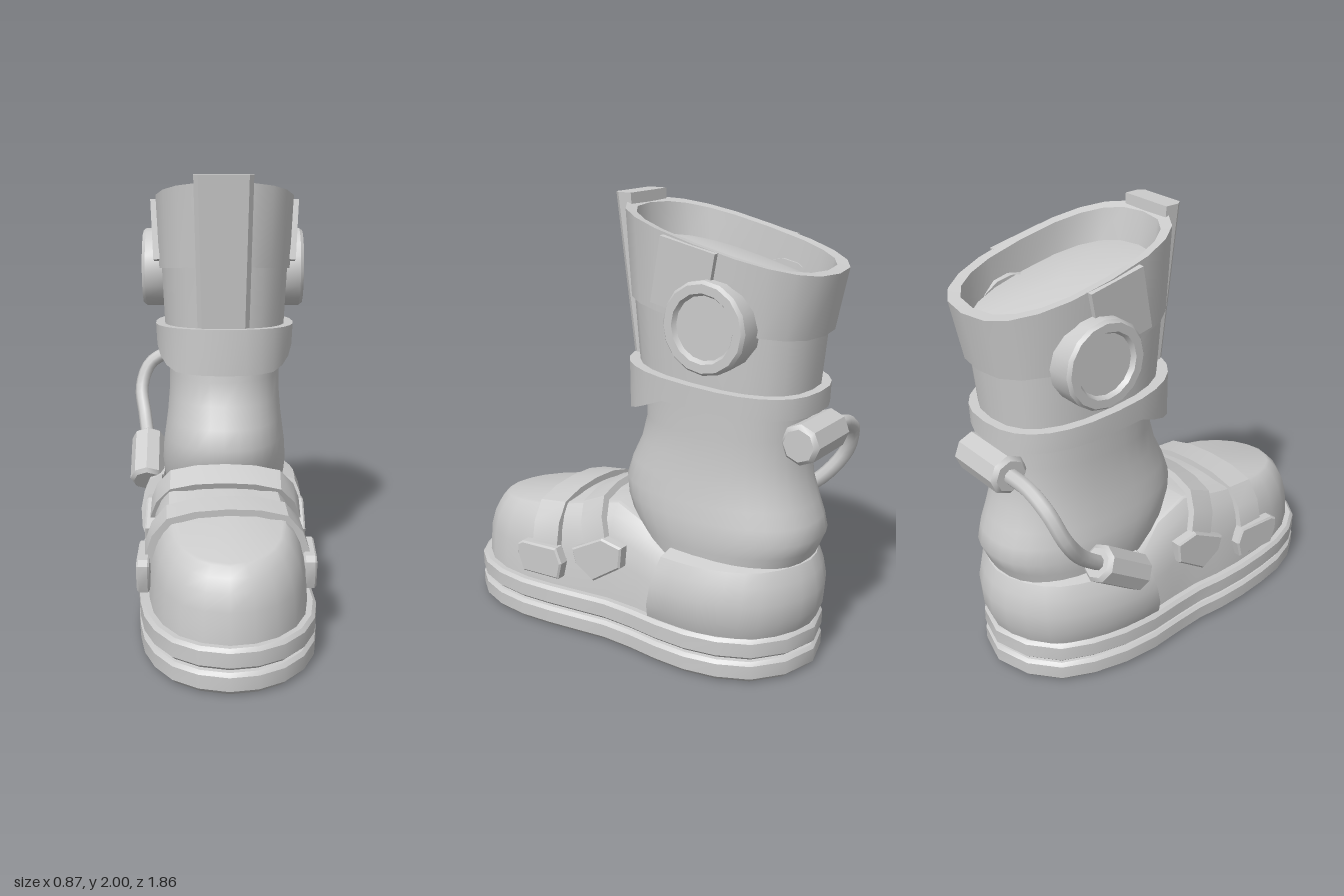
import * as THREE from 'three';
import { toCreasedNormals } from 'three/addons/utils/BufferGeometryUtils.js';

const material = new THREE.MeshStandardMaterial({ color: 0xcccccc });
const doubleMaterial = new THREE.MeshStandardMaterial({ color: 0xcccccc, side: THREE.DoubleSide });
const V = (x, y, z) => new THREE.Vector3(x, y, z);
const CX = 0.03;

// Skin a stack of rings (each ordered front, left, back, right)
function loft(rings, closed = true, crease = 0.55) {
  const pos = [], n = rings[0].length;
  for (let j = 0; j < rings.length - 1; j++) {
    for (let i = 0; i < (closed ? n : n - 1); i++) {
      const k = (i + 1) % n;
      const a = rings[j][i], b = rings[j][k], c = rings[j + 1][k], d = rings[j + 1][i];
      for (const t of [[a, b, c], [a, c, d]]) {
        if (t[0].equals(t[1]) || t[1].equals(t[2]) || t[0].equals(t[2])) continue;
        for (const p of t) pos.push(p.x, p.y, p.z);
      }
    }
  }
  const g = new THREE.BufferGeometry();
  g.setAttribute('position', new THREE.Float32BufferAttribute(pos, 3));
  return toCreasedNormals(g, crease);
}
const point = (n, x, y, z) => Array.from({ length: n }, () => V(x, y, z));

// Footprint of the sole as (x, z), starting at the toe
const footprint = new THREE.CatmullRomCurve3([
  [0.05, 0.93], [0.24, 0.87], [0.38, 0.7], [0.43, 0.45], [0.41, 0.2], [0.385, -0.05],
  [0.41, -0.3], [0.4, -0.55], [0.29, -0.77], [0.03, -0.88], [-0.23, -0.77], [-0.34, -0.55],
  [-0.37, -0.28], [-0.345, -0.02], [-0.355, 0.2], [-0.335, 0.45], [-0.28, 0.68], [-0.15, 0.86],
].map(([x, z]) => V(x, 0, z)), true);
const N = 30;

function edgePoint(u, inset, y) {
  const p = footprint.getPoint(u), t = footprint.getTangent(u);
  const x = p.x + t.z * inset, z = p.z - t.x * inset;
  return V(x, typeof y === 'function' ? y(z) : y, z);
}
const footRing = (inset, y) => Array.from({ length: N }, (_, i) => edgePoint(i / N, inset, y));

// Rounded oval ring of the shaft; y may depend on z
function oval(n, hw, zf, zb, y, e = 2.5) {
  const pw = (v) => Math.sign(v) * Math.abs(v) ** (2 / e);
  return Array.from({ length: n }, (_, i) => {
    const a = (i / n) * Math.PI * 2;
    const z = (zf + zb) / 2 + pw(Math.cos(a)) * (zf - zb) / 2;
    return V(CX + pw(Math.sin(a)) * hw, typeof y === 'function' ? y(z) : y, z);
  });
}
const slope = (y0, s) => (z) => y0 + s * z;

// Piecewise linear lookup, keys falling
function lookup(keys, z) {
  for (let i = 0; i < keys.length - 1; i++) {
    const [z0, y0] = keys[i], [z1, y1] = keys[i + 1];
    if (z >= z1) return y0 + (y1 - y0) * Math.min(1, Math.max(0, (z0 - z) / (z0 - z1)));
  }
  return keys[keys.length - 1][1];
}

function lathe(profile, segments) {
  const g = new THREE.LatheGeometry(profile.map(([r, y]) => new THREE.Vector2(r, y)), segments);
  return toCreasedNormals(g, 0.6);
}

export function createModel() {
  const boot = new THREE.Group();
  const add = (name, geo, mat = material) => {
    const m = new THREE.Mesh(geo, mat);
    m.name = name;
    boot.add(m);
    return m;
  };

  // Two-layer sole with a recessed underside
  const soleProfile = [[0.07, 0.03], [0.06, 0], [0.02, 0], [0, 0.02], [0, 0.08], [0.015, 0.095],
    [0.035, 0.097], [0.035, 0.106], [0.015, 0.108], [0, 0.122], [0, 0.185], [0.015, 0.2], [0.12, 0.2]];
  add('sole', loft([point(N, CX, 0.03, 0), ...soleProfile.map(([i, y]) => footRing(i, y))]));
  for (const z of [0.48, -0.48]) {
    const ring = add('soleRing', lathe([[0.17, 0], [0.16, 0.025], [0.125, 0.025], [0.115, 0.005], [0, 0.005]], 18));
    ring.rotation.x = Math.PI;
    ring.position.set(0.04, 0.03, z);
  }

  // Foot upper, its top edge rising from toe to ankle
  const topEdge = [[0.8, 0.495], [0.4, 0.55], [0.0, 0.635], [-0.3, 0.5], [-0.9, 0.5]];
  const upper = [[0.04, 0], [0.05, 0.45], [0.07, 0.7], [0.1, 0.88], [0.135, 1]].map(([inset, k]) =>
    footRing(inset, (z) => 0.2 + k * (lookup(topEdge, z) - 0.2)));
  upper.push(footRing(0.15, (z) => lookup(topEdge, z) + 0.005), point(N, CX, 0.65, 0));
  add('footUpper', loft(upper));

  // Heel counter wrapped around the back, with slanted front edges
  const heelProfile = [[0.02, 0.2], [-0.005, 0.27], [-0.01, 0.36], [0.005, 0.44], [0.03, 0.5], [0.1, 0.525]];
  add('heelCounter', loft(heelProfile.map(([inset, y]) => {
    const s = (y - 0.2) / 0.3, a = (5.76 + 0.28 * s) / 18, b = (12.15 - 0.25 * s) / 18, cols = 18;
    return Array.from({ length: cols + 3 }, (_, i) => {
      const end = i === 0 || i === cols + 2;
      const t = Math.min(cols, Math.max(0, i - 1)) / cols;
      return edgePoint(a + (b - a) * t, end ? 0.09 : inset, y);
    });
  }), false), doubleMaterial);

  // Soft ankle: y, half width, front z, back z
  add('ankle', loft([
    [0.48, 0.29, -0.06, -0.83], [0.55, 0.3, -0.02, -0.86], [0.61, 0.305, 0.015, -0.885],
    [0.68, 0.3, 0.045, -0.87], [0.75, 0.29, 0.055, -0.845], [0.84, 0.278, 0.025, -0.815],
    [0.94, 0.27, -0.025, -0.8], [1.05, 0.268, -0.055, -0.8], [1.25, 0.28, -0.05, -0.815],
  ].map(([y, hw, f, b]) => oval(32, hw, f, b, y, 2.3)), true, 0.9));

  // Upper shaft
  add('shaft', loft([
    oval(24, 0.285, -0.04, -0.815, slope(1.22, 0.05)),
    oval(24, 0.29, -0.035, -0.82, slope(1.3, 0.07)),
    oval(24, 0.305, -0.005, -0.845, slope(1.63, 0.13)),
  ]));

  // Flared cuff, slanted rim and inner lining
  const rim = slope(1.957, 0.243);
  const drop = (d) => (z) => rim(z) - d;
  add('cuff', loft([
    oval(20, 0.295, -0.015, -0.83, slope(1.6, 0.13)),
    oval(20, 0.317, 0.005, -0.865, slope(1.59, 0.13)),
    oval(20, 0.332, 0.035, -0.917, rim),
    oval(20, 0.29, -0.01, -0.865, drop(0.005)),
    oval(20, 0.285, -0.035, -0.835, drop(0.14)),
    oval(20, 0.2, -0.15, -0.72, drop(0.115)),
    point(20, CX, 1.76, -0.44),
  ]));

  // Strap band around the shaft, dipping at the front
  const bandBottom = (z) => lookup([[0.02, 1.095], [-0.08, 1.1], [-0.3, 1.19], [-0.86, 1.155]], z);
  const bandTop = slope(1.31, 0.075);
  add('shaftBand', loft([
    oval(28, 0.27, -0.07, -0.79, bandBottom), oval(28, 0.328, 0.01, -0.855, bandBottom),
    oval(28, 0.333, 0.012, -0.857, bandTop), oval(28, 0.27, -0.06, -0.8, bandTop),
  ]));

  // Bevelled front plate
  const plate = (y, w, f, b) => [[w - 0.02, f], [w, f - 0.025], [w, b], [-w, b], [-w, f - 0.025], [0.02 - w, f]]
    .map(([x, z]) => V(0.025 + x, y, z));
  add('frontPlate', loft([point(6, 0.025, 1.315, -0.03), plate(1.315, 0.118, 0.005, -0.05),
    plate(2, 0.132, 0.09, 0), point(6, 0.025, 2, 0.04)], true, 0.1));

  // Side plates and round side caps
  for (const s of [1, -1]) {
    const side = add('sidePlate', new THREE.BoxGeometry(0.03, 0.28, 0.26));
    side.position.set(CX + s * 0.325, 1.71, -0.4);
    side.rotation.set(-0.2, 0, -s * 0.05);
    const cap = add('sideCap', lathe([[0.19, -0.03], [0.19, 0.085], [0.178, 0.1], [0.142, 0.1], [0.13, 0.08], [0, 0.08]], 16));
    cap.rotation.z = -s * Math.PI / 2;
    cap.position.set(s > 0 ? 0.31 : -0.265, 1.53, -0.52);
  }

  // Instep straps: half arch mirrored, given thickness and leaned forward
  const half = [[0.375, 0], [0.362, 0.12], [0.328, 0.22], [0.262, 0.3], [0.14, 0.33], [0, 0.338]];
  function strap(name, x, y, z, sx, width, tilt, turn) {
    const outer = [...half, ...half.slice(0, -1).reverse().map(([a, b]) => [-a, b])];
    const inner = outer.map(([a, b]) => [a * 0.91, b * 0.91]).reverse();
    const shape = new THREE.Shape([...outer, ...inner].map(([a, b]) => new THREE.Vector2(a * sx, b)));
    const g = new THREE.ExtrudeGeometry(shape, { depth: width, bevelEnabled: false });
    g.translate(0, 0, -width / 2);
    const m = add(name, toCreasedNormals(g, 0.5));
    m.position.set(x, y, z);
    m.rotation.set(tilt, turn, 0);
  }
  strap('frontStrap', 0.04, 0.28, 0.335, 1, 0.14, 0.1, 0.06);
  strap('rearStrap', 0.035, 0.365, 0.0, 0.96, 0.13, 0.42, 0);

  // Strap buckles: outline as (z, y), one on each side
  function buckle(name, outline, x, dz) {
    const shape = new THREE.Shape(outline.map(([z, y]) => new THREE.Vector2(-z - dz, y)));
    const g = new THREE.ExtrudeGeometry(shape, {
      depth: 0.04, bevelEnabled: true, bevelSize: 0.008, bevelThickness: 0.008, bevelOffset: -0.008, bevelSegments: 1,
    });
    g.rotateY(Math.PI / 2);
    add(name, toCreasedNormals(g, 0.4)).position.x = x;
  }
  const frontBuckle = [[0.47, 0.38], [0.47, 0.33], [0.44, 0.25], [0.23, 0.26], [0.21, 0.34], [0.24, 0.41], [0.44, 0.4]];
  const rearBuckle = [[0.17, 0.42], [0.0, 0.51], [-0.11, 0.49], [-0.1, 0.39], [0.05, 0.29], [0.15, 0.35]];
  buckle('frontBuckle', frontBuckle, 0.382, 0);
  buckle('frontBuckle', frontBuckle, -0.34, 0.05);
  buckle('rearBuckle', rearBuckle, 0.352, 0);
  buckle('rearBuckle', rearBuckle, -0.325, 0);

  // Hose with a canister at each end
  function canister(name, a, b, r) {
    const h = a.distanceTo(b) / 2, c = 0.018;
    const m = add(name, lathe([[0, -h], [r - c, -h], [r, c - h], [r, h - c], [r - c, h], [0, h]], 8));
    m.position.copy(a).lerp(b, 0.5);
    m.quaternion.setFromUnitVectors(V(0, 1, 0), b.clone().sub(a).normalize());
  }
  canister('sideCanister', V(-0.355, 0.475, -0.36), V(-0.36, 0.64, -0.6), 0.085);
  canister('rearCanister', V(-0.125, 1.05, -0.842), V(0.18, 1.05, -0.842), 0.088);
  const hose = new THREE.CatmullRomCurve3([V(-0.36, 0.62, -0.57), V(-0.385, 0.73, -0.7), V(-0.405, 0.86, -0.79),
    V(-0.36, 0.98, -0.83), V(-0.25, 1.04, -0.84), V(-0.1, 1.05, -0.842)]);
  add('hose', new THREE.TubeGeometry(hose, 20, 0.034, 8));

  return boot;
}
